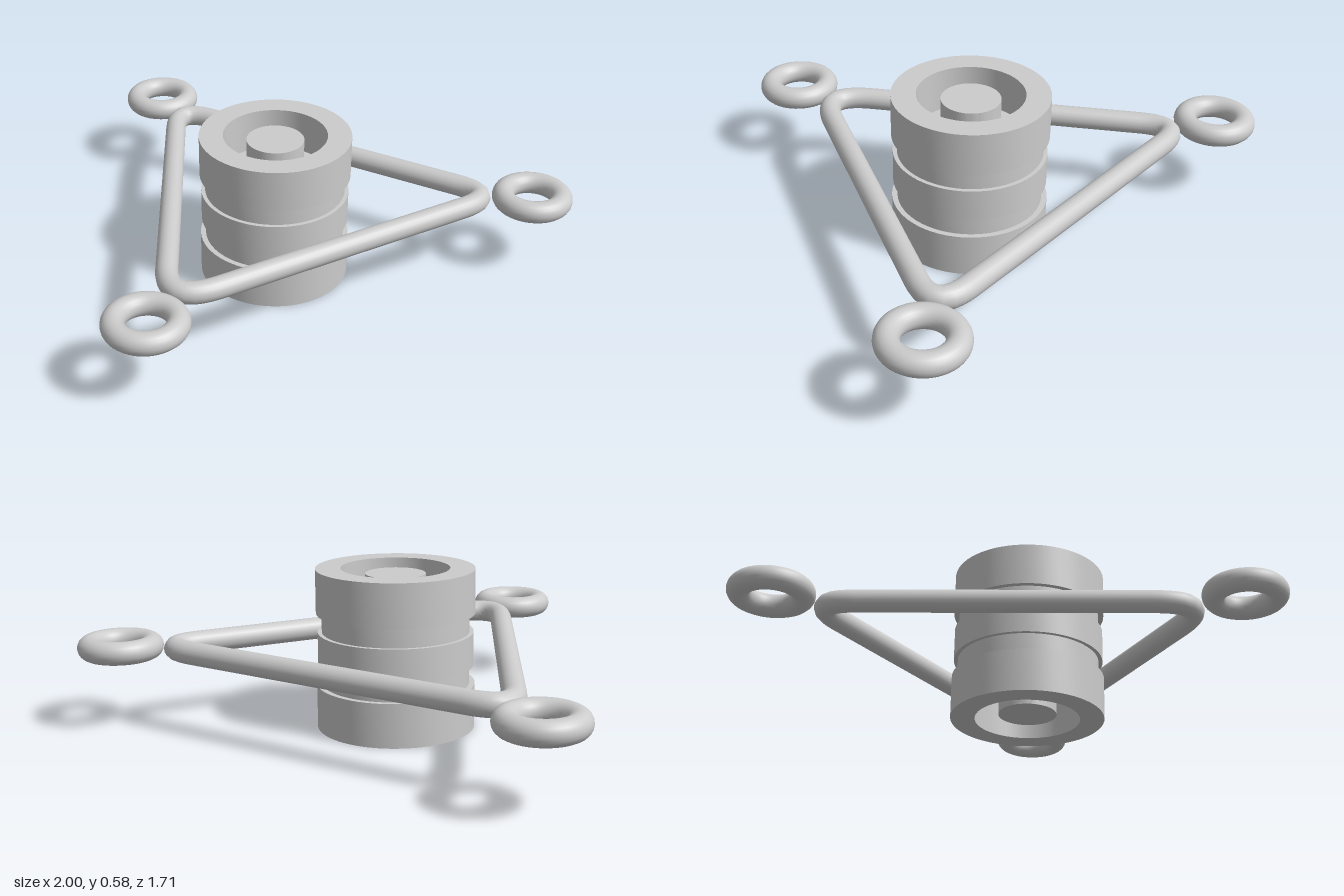
import * as THREE from 'three';
import { toCreasedNormals } from 'three/addons/utils/BufferGeometryUtils.js';

const MID = 0.29; // height of the horizontal symmetry plane

export function createModel() {
  const group = new THREE.Group();
  const material = new THREE.MeshStandardMaterial({ color: 0xcccccc });
  const add = (name, geometry, x, y, z) => {
    const mesh = new THREE.Mesh(geometry, material);
    mesh.name = name;
    mesh.position.set(x, y, z);
    group.add(mesh);
    return mesh;
  };

  // Grooved drum: upper half profile (radius, height above the middle), mirrored below
  const upper = [
    [0.28, 0.061], [0.265, 0.061], [0.265, 0.13], [0.285, 0.13], [0.285, 0.29],
    [0.195, 0.29], [0.195, 0.13], [0.108, 0.13], [0.108, 0.27], [0, 0.27],
  ];
  const lower = upper.map(([r, h]) => [r, -h]).reverse();
  const profile = [...lower, ...upper].map(([r, h]) => new THREE.Vector2(r, h));
  add('drum', toCreasedNormals(new THREE.LatheGeometry(profile, 64), 0.6), 0, MID, -0.19);

  // Triangular bar frame: straight bars joined by rounded corners [start, control, end]
  const v = (x, z) => new THREE.Vector3(x, 0, z);
  const corners = [
    [v(-0.56, -0.65), v(-0.735, -0.65), v(-0.645, -0.5)],
    [v(-0.11, 0.4), v(0, 0.585), v(0.11, 0.4)],
    [v(0.645, -0.5), v(0.735, -0.65), v(0.56, -0.65)],
  ];
  const path = new THREE.CurvePath();
  corners.forEach((corner, i) => {
    path.add(new THREE.QuadraticBezierCurve3(...corner));
    path.add(new THREE.LineCurve3(corner[2], corners[(i + 1) % 3][0]));
  });
  add('triangleFrame', new THREE.TubeGeometry(path, 150, 0.041, 20, true), 0, MID, 0);

  // Small rings beyond each corner
  const rings = [['leftRing', 0.847, -0.707], ['rightRing', -0.847, -0.707], ['frontRing', 0, 0.7]];
  for (const [name, x, z] of rings) {
    add(name, new THREE.TorusGeometry(0.111, 0.042, 20, 48), x, MID, z).rotation.x = Math.PI / 2;
  }

  return group;
}
